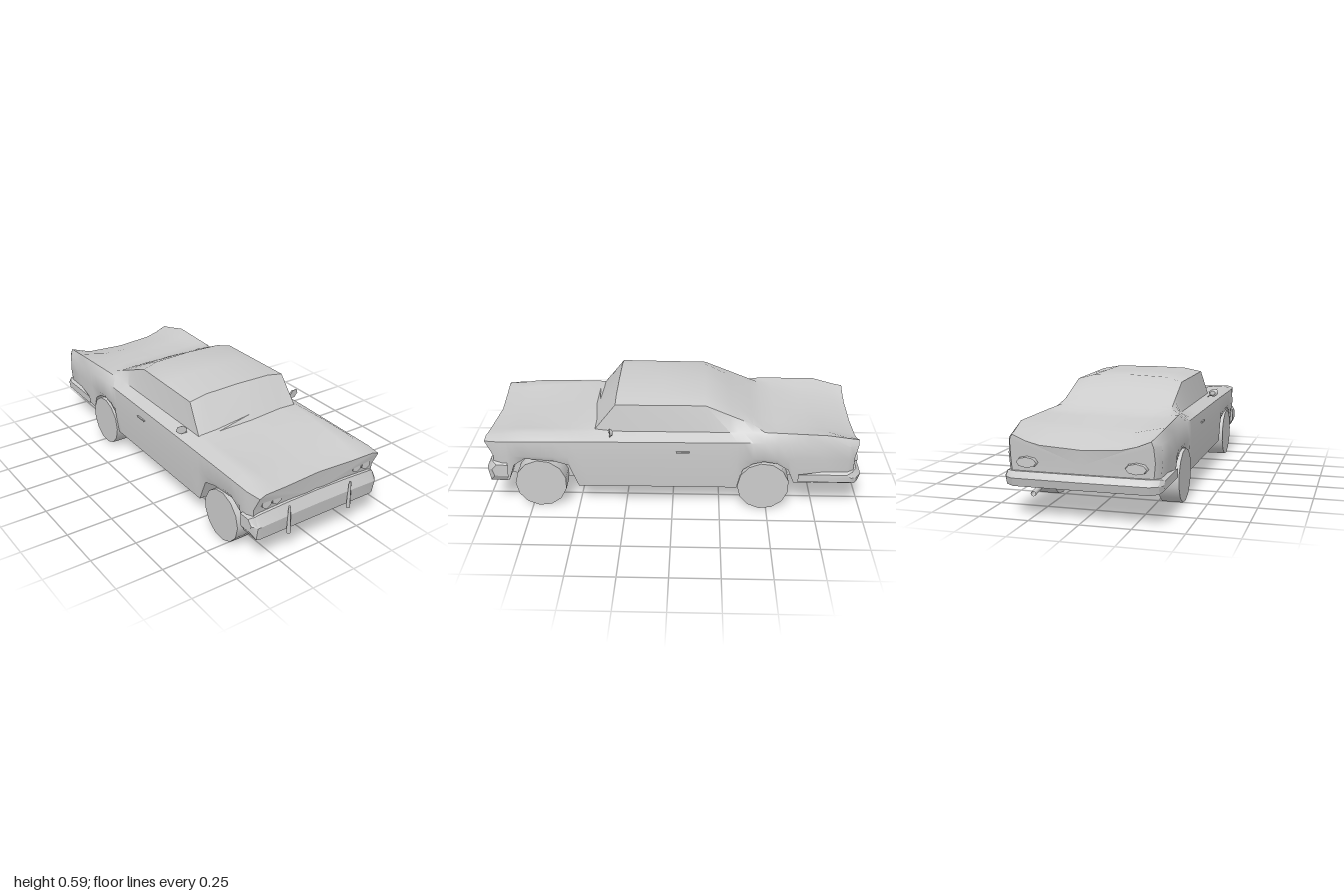
import * as THREE from 'three';
import { toCreasedNormals } from 'three/addons/utils/BufferGeometryUtils.js';

const material = new THREE.MeshStandardMaterial({ color: 0xcccccc, side: THREE.DoubleSide });

// Linear interpolation through [z, value] keys sorted by z
function track(keys, z) {
  if (z <= keys[0][0]) return keys[0][1];
  for (let i = 1; i < keys.length; i++) {
    const [z0, v0] = keys[i - 1], [z1, v1] = keys[i];
    if (z <= z1) return v0 + ((v1 - v0) * (z - z0)) / (z1 - z0);
  }
  return keys[keys.length - 1][1];
}

// Skin closed rings of [x, y, z] points and cap both ends with a fan
function loft(rings, crease, capCenters = []) {
  const n = rings[0].length, last = rings.length - 1;
  const pos = rings.flat(2), index = [];
  for (let i = 0; i < last; i++) {
    for (let j = 0; j < n; j++) {
      const k = (j + 1) % n;
      const a = i * n + j, b = i * n + k, c = b + n, d = a + n;
      index.push(a, b, c, a, c, d);
    }
  }
  [0, last].forEach((r, end) => {
    const mean = [0, 1, 2].map((k) => rings[r].reduce((s, p) => s + p[k], 0) / n);
    const center = pos.length / 3;
    pos.push(...(capCenters[end] || mean));
    for (let j = 0; j < n; j++) {
      const a = r * n + j, b = r * n + ((j + 1) % n);
      if (end) index.push(center, a, b);
      else index.push(center, b, a);
    }
  });
  const g = new THREE.BufferGeometry();
  g.setAttribute('position', new THREE.Float32BufferAttribute(pos, 3));
  g.setIndex(index);
  return toCreasedNormals(g, crease);
}

// Body outline as it changes along the length
const floorY = [[-0.97, 0.165], [-0.64, 0.15], [-0.5, 0.12], [0.8, 0.12], [0.9, 0.15]];
const archY = [[-0.97, 0.165], [-0.64, 0.155], [-0.61, 0.23], [-0.55, 0.268], [-0.48, 0.28], [-0.42, 0.265],
  [-0.37, 0.23], [-0.34, 0.12], [0.5, 0.12], [0.55, 0.245], [0.63, 0.268], [0.78, 0.28], [0.84, 0.24], [0.87, 0.15]];
const width = [[-0.96, 0.35], [-0.92, 0.375], [-0.5, 0.38], [0.9, 0.383], [0.95, 0.372]];
const shoulderY = [[-0.96, 0.375], [-0.5, 0.395], [0.4, 0.39], [0.95, 0.382]];
const crestX = [[-0.96, 0.335], [-0.8, 0.36], [-0.48, 0.345], [-0.3, 0.318], [0.4, 0.315], [0.63, 0.33], [0.95, 0.33]];
const crestY = [[-0.96, 0.402], [-0.8, 0.436], [-0.48, 0.441], [-0.3, 0.425], [0.4, 0.422], [0.8, 0.416], [0.95, 0.393]];
const railX = [[-0.96, 0.27], [-0.48, 0.295], [-0.17, 0.288], [0.3, 0.295], [0.41, 0.3], [0.95, 0.25]];
const railY = [[-0.96, 0.375], [-0.8, 0.42], [-0.48, 0.436], [-0.17, 0.563], [0.3, 0.565], [0.41, 0.426], [0.8, 0.41], [0.95, 0.39]];
const roofY = [[-0.96, 0.357], [-0.8, 0.402], [-0.48, 0.437], [-0.17, 0.587], [0.3, 0.583], [0.41, 0.43], [0.95, 0.388]];
const ridgeY = [[-0.96, 0.345], [-0.8, 0.392], [-0.48, 0.438], [-0.17, 0.594], [0.3, 0.587], [0.43, 0.43], [0.95, 0.387]];
const stations = [-0.96, -0.92, -0.8, -0.7, -0.64, -0.61, -0.55, -0.48, -0.42, -0.37, -0.34, -0.3, -0.17, 0.06,
  0.3, 0.41, 0.43, 0.5, 0.55, 0.63, 0.7, 0.78, 0.84, 0.87, 0.9, 0.95];

function bodyRing(z) {
  const f = track(floorY, z), a = Math.max(track(archY, z), f + 0.001), w = track(width, z);
  const half = [
    [0, f], [0.27, f], [0.27, a], [w - 0.012, a], [w, 0.3], [w - 0.004, track(shoulderY, z)],
    [track(crestX, z), track(crestY, z)], [track(railX, z), track(railY, z)],
    [0.2, track(roofY, z)], [0, track(ridgeY, z)],
  ];
  // Overhanging brow at the nose and lip at the tail
  const place = ([x, y]) => {
    let shift = 0;
    if (z === 0.95) shift = y > 0.34 ? 0.01 + 0.07 * x : -0.005;
    if (z === -0.96) shift = y > 0.34 ? -0.012 : 0.005;
    return [x, y, z + shift];
  };
  const right = half.map(place);
  const left = right.slice(1, -1).reverse().map(([x, y, zz]) => [-x, y, zz]);
  return [...right, ...left];
}

// Bumper from stations [x, outer z, inner z, top y, bottom y] given for x >= 0
function bumper(half, dir) {
  const all = [...half.slice(1).reverse().map(([x, ...r]) => [-x, ...r]), ...half];
  const rings = all.map(([x, zo, zi, t, b]) => {
    const fold = b + (t - b) * 0.58;
    const ring = [[x, b, zi], [x, t, zi], [x, t, zo - 0.025 * dir], [x, fold, zo], [x, b, zo - 0.012 * dir]];
    return dir > 0 ? ring : ring.reverse();
  });
  return loft(rings, 0.5);
}

export function createModel() {
  const car = new THREE.Group();
  car.name = 'car';
  const add = (name, geometry, x = 0, y = 0, z = 0) => {
    const m = new THREE.Mesh(geometry, material);
    m.name = name;
    m.position.set(x, y, z);
    car.add(m);
    return m;
  };

  add('body', loft(stations.map(bodyRing), 0.75, [[0, 0.27, -0.962], [0, 0.27, 0.945]]));

  add('frontBumper', bumper([
    [0, 0.985, 0.92, 0.287, 0.145], [0.19, 0.985, 0.92, 0.283, 0.145],
    [0.35, 0.985, 0.91, 0.276, 0.145], [0.368, 0.98, 0.88, 0.268, 0.147], [0.39, 0.955, 0.87, 0.25, 0.185]], 1));
  add('rearBumper', bumper([
    [0, -0.998, -0.9, 0.228, 0.158], [0.33, -0.995, -0.9, 0.228, 0.158],
    [0.37, -0.97, -0.8, 0.226, 0.16], [0.386, -0.94, -0.66, 0.215, 0.172]], -1));

  // Wheels
  const wheel = new THREE.CylinderGeometry(0.137, 0.137, 0.105, 13).rotateZ(Math.PI / 2);
  const headlight = new THREE.CylinderGeometry(0.029, 0.026, 0.04, 6).rotateX(Math.PI / 2);
  const tailLight = new THREE.CylinderGeometry(0.05, 0.055, 0.02, 8).rotateX(-Math.PI / 2).scale(1, 0.5, 1);
  // Bumper guard: slim upright post, wider at the foot
  const guard = new THREE.CylinderGeometry(0.006, 0.011, 0.15, 6);
  const mirrorHead = new THREE.CylinderGeometry(0.032, 0.018, 0.016, 6).rotateX(Math.PI / 2).scale(1, 0.75, 1);

  for (const s of [-1, 1]) {
    const side = s > 0 ? 'left' : 'right';
    add(`${side}FrontWheel`, wheel, s * 0.3275, 0.137, 0.7);
    add(`${side}RearWheel`, wheel, s * 0.3275, 0.137, -0.48);
    add(`${side}OuterHeadlight`, headlight, s * 0.31, 0.328, 0.946);
    add(`${side}InnerHeadlight`, headlight, s * 0.25, 0.33, 0.946);
    add(`${side}TailLight`, tailLight, s * 0.265, 0.272, -0.966);
    add(`${side}BumperGuard`, guard, s * 0.19, 0.205, 0.988);
    add(`${side}DoorHandle`, new THREE.BoxGeometry(0.012, 0.007, 0.07), s * 0.381, 0.338, -0.055);
    // Wing mirror on a thin stalk
    const stalk = new THREE.LineCurve3(new THREE.Vector3(s * 0.325, 0.405, 0.325), new THREE.Vector3(s * 0.36, 0.44, 0.322));
    add(`${side}MirrorStalk`, new THREE.TubeGeometry(stalk, 1, 0.003, 5));
    add(`${side}MirrorHead`, mirrorHead, s * 0.364, 0.438, 0.32).rotation.set(0, s * 0.2, s * 0.3);
  }

  // Exhaust tip below the rear bumper
  const exhaust = add('exhaustPipe', new THREE.CylinderGeometry(0.013, 0.011, 0.22, 8, 1, true), 0.23, 0.142, -0.87);
  exhaust.rotation.x = -Math.PI / 2 - 0.15;
  return car;
}
